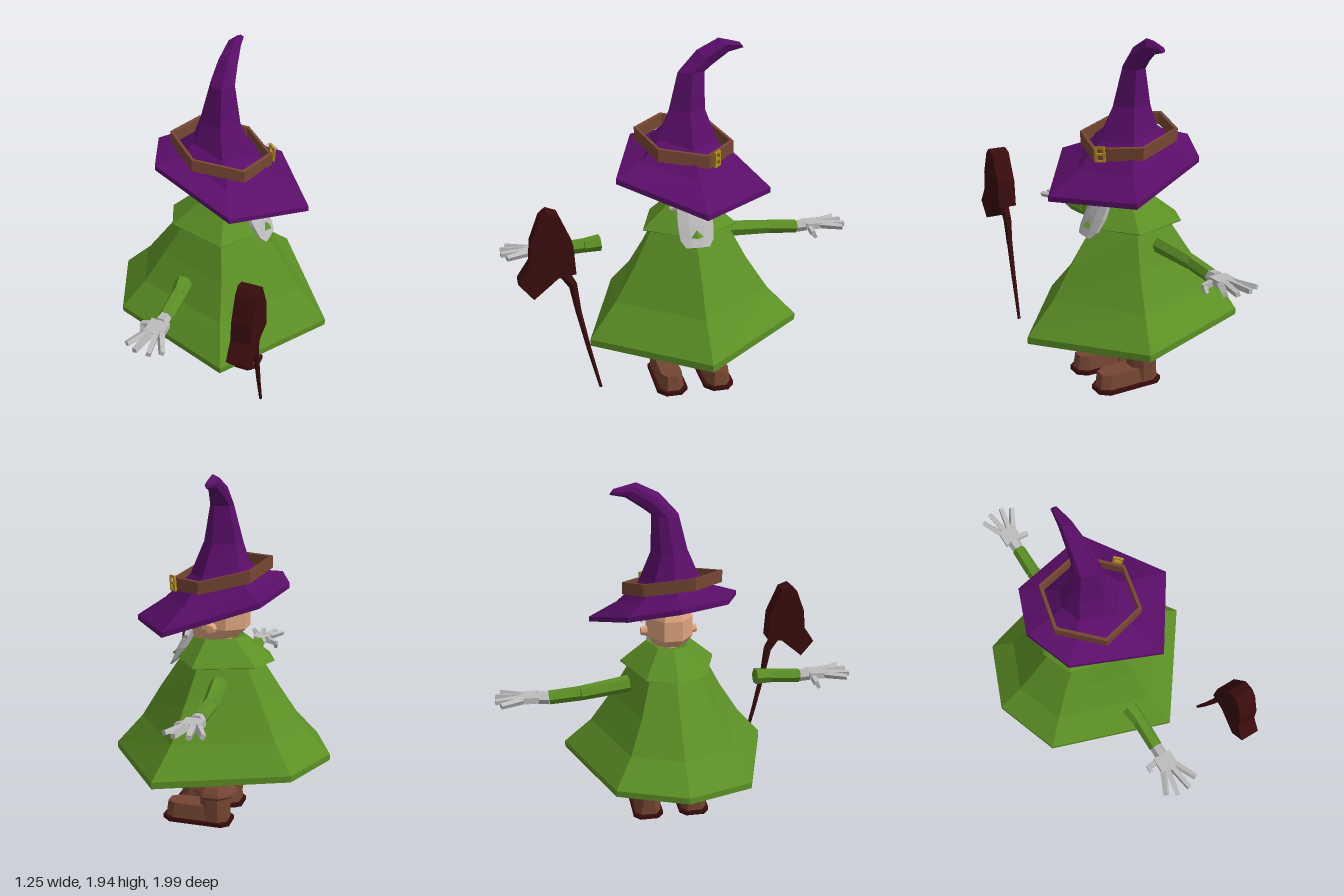
import * as THREE from 'three';

const mat = (name, color) => {
  const m = new THREE.MeshStandardMaterial({ color, flatShading: true, side: THREE.DoubleSide });
  m.name = name;
  return m;
};

export function createModel() {
  const root = new THREE.Group();
  root.name = 'wizard';
  const green = mat('robeGreen', 0x5c9025), purple = mat('hatPurple', 0x5a0e69);
  const brown = mat('leatherBrown', 0x754632), skin = mat('skin', 0xdca47e);
  const grey = mat('hairAndGloveGrey', 0xbcbcbc), dark = mat('darkRedWood', 0x3a0c0d);
  const gold = mat('buckleGold', 0xb08d1e);

  const add = (name, geo, m, parent = root) => {
    const mesh = new THREE.Mesh(geo, m);
    mesh.name = name;
    parent.add(mesh);
    return mesh;
  };

  // regular polygon of unit radius in x/z
  const poly = (n, phase = 0) => Array.from({ length: n }, (_, i) => {
    const t = phase + i * 2 * Math.PI / n;
    return [Math.cos(t), -Math.sin(t)];
  });
  // uneven six-sided section shared by robe and hat
  const hex = [[.625, 0], [.2, -.585], [-.49, -.365], [-.63, 0], [-.49, .365], [.2, .585]];

  // loft of tilted sections; ring = [cx, y, cz, scaleX, scaleZ, slopeX, slopeZ]
  const loft = (base, rings, capBottom = false, capTop = false) => {
    const pos = [], idx = [], n = base.length;
    for (const [cx, y, cz, sx, sz = sx, tx = 0, tz = 0] of rings)
      for (const [u, v] of base) pos.push(cx + u * sx, y + u * sx * tx + v * sz * tz, cz + v * sz);
    for (let i = 0; i < rings.length - 1; i++)
      for (let j = 0; j < n; j++) {
        const a = i * n + j, b = i * n + (j + 1) % n;
        idx.push(a, b, b + n, a, b + n, a + n);
      }
    const last = (rings.length - 1) * n;
    for (let j = 1; j < n - 1; j++) {
      if (capBottom) idx.push(0, j + 1, j);
      if (capTop) idx.push(last, last + j, last + j + 1);
    }
    const g = new THREE.BufferGeometry();
    g.setAttribute('position', new THREE.Float32BufferAttribute(pos, 3));
    g.setIndex(idx);
    g.computeVertexNormals();
    return g;
  };

  // tapered bar between two points
  const rod = (name, p, q, r1, r2, sides, m, parent = root) => {
    const a = new THREE.Vector3(...p), b = new THREE.Vector3(...q), d = b.clone().sub(a);
    const g = new THREE.CylinderGeometry(r2, r1, d.length(), sides);
    g.rotateY(Math.PI / sides);
    const mesh = add(name, g, m, parent);
    mesh.position.copy(a).add(b).multiplyScalar(.5);
    mesh.quaternion.setFromUnitVectors(new THREE.Vector3(0, 1, 0), d.normalize());
    return mesh;
  };

  const C = -.035; // body's middle plane in z

  // robe and collar
  add('robe', loft(hex, [
    [0, .355, C, .95, .95, -.054, -.03], [0, .352, C, 1, 1, -.054, -.03],
    [0, .388, C, 1, 1, -.05, -.03], [-.01, .55, C, .76, .74, -.02, -.01],
    [-.01, .73, C, .575, .54], [-.01, .93, C, .36, .36], [-.01, 1.03, C, .22, .22]]), green);
  add('collar', loft(hex, [
    [-.015, .925, C, .45], [-.015, .93, C, .47, .45], [0, 1.055, C, .225, .21, -.04], [-.01, 1.04, C, .1]]), green);

  // neck, head and ears
  add('neck', new THREE.CylinderGeometry(.05, .05, .1, 8).translate(-.025, 1.05, C), skin);
  add('head', loft(poly(8, Math.PI / 8), [
    [.015, 1.05, C, .13, .1, -.08], [0, 1.11, C, .172, .13], [0, 1.22, C, .172, .13], [-.01, 1.285, C, .13, .1]],
    true, true), skin);
  for (const s of [1, -1]) {
    add('ear', new THREE.CylinderGeometry(.022, .032, .04, 8).rotateX(s * Math.PI / 2)
      .translate(.012, 1.12, C + s * .135), skin);
    rod('eyebrow', [.165, 1.19, C + s * .03], [.115, 1.215, C + s * .105], .016, .02, 4, grey);
    rod('eyebrowTip', [.115, 1.22, C + s * .105], [.075, 1.15, C + s * .14], .02, .009, 4, grey);
    rod('moustache', [.168, 1.105, C], [.155, 1.065, C + s * .13], .026, .012, 5, grey);
  }
  add('beard', loft(poly(8, Math.PI / 8), [
    [.268, .88, C, .01, .07], [.24, .915, C, .022, .098], [.2, .985, C, .032, .105], [.155, 1.085, C, .022, .1]],
    true, true), grey);

  // hat with bent tip
  add('hat', loft(hex, [
    [.05, 1.228, C, .65, .65, -.27, .127], [.05, 1.222, C, .69, .72, -.27, .127],
    [.05, 1.25, C, .69, .72, -.27, .127], [.03, 1.32, C, .45, .46, -.25, .12],
    [0, 1.42, -.03, .27, .28, -.2, .1], [-.02, 1.57, -.03, .175, .17],
    [-.018, 1.77, -.055, .105, .125], [-.02, 1.845, -.13, .085, .075, 0, .9],
    [-.022, 1.905, -.235, .055, .05, 0, 1.3], [-.025, 1.9, -.335, .025, .02, 0, 1.3]], false, true), purple);

  // hat belt: closed square-section hexagonal band
  const band = [[1.365, .27], [1.432, .27], [1.432, .25], [1.365, .25], [1.365, .27]];
  add('hatBelt', loft(poly(6, .3), band.map(([y, r]) => [-.012, y, -.02, r, r, -.2, .1])), brown);

  // buckle: gold frame with a prong
  const buckle = new THREE.Group();
  buckle.name = 'buckle';
  for (const s of [1, -1]) {
    add('buckleSide', new THREE.BoxGeometry(.012, .08, .012).translate(0, 0, s * .022), gold, buckle);
    add('buckleBar', new THREE.BoxGeometry(.012, .012, .056).translate(0, s * .036, 0), gold, buckle);
  }
  add('prong', new THREE.BoxGeometry(.014, .012, .04), gold, buckle);
  buckle.position.set(.23, 1.352, -.145);
  buckle.rotation.set(.1, .8, -.1);
  root.add(buckle);

  // arms and open hands; the +z sleeve stands clear of the robe
  const arm = (name, s, wristX, start) => {
    const g = new THREE.Group();
    g.name = name;
    const P = (dx, y, z) => [wristX + dx * s, y, s * z];
    const elbow = P(0, .822, .54), wrist = P(0, .81, .71);
    rod('upperSleeve', start, elbow, .047, .04, 6, green, g);
    rod('lowerSleeve', elbow, wrist, .04, .038, 6, green, g);
    rod('cuff', wrist, P(0, .815, .77), .034, .036, 6, grey, g);
    add('palm', new THREE.BoxGeometry(.1, .034, .1).translate(wristX, .818, s * .815), grey, g);
    for (const [a, b, z] of [[-.038, -.095, .965], [-.015, -.04, .995], [.012, .035, .995], [.038, .095, .965]])
      rod('finger', P(a, .82, .85), P(b, .82, z), .021, .017, 4, grey, g);
    rod('thumb', P(-.04, .81, .785), P(-.098, .795, .785), .02, .018, 4, grey, g);
    rod('thumbTip', P(-.09, .8, .785), P(-.09, .765, .805), .018, .013, 4, grey, g);
    root.add(g);
  };
  arm('leftArm', 1, -.035, [-.045, .828, .45]);
  arm('rightArm', -1, -.095, [-.06, .845, -.27]);

  // legs and boots
  const footGeo = (grow, y0, y1) => {
    const w = .07 + grow, b = -.09 - grow, f = .268 + grow;
    const s = new THREE.Shape([[b, -w * .6], [b + .04, -w], [f - .05, -w], [f, -w * .5],
      [f, w * .5], [f - .05, w], [b + .04, w], [b, w * .6]].map(p => new THREE.Vector2(...p)));
    return new THREE.ExtrudeGeometry(s, { depth: y1 - y0, bevelEnabled: false })
      .rotateX(-Math.PI / 2).translate(0, y0, 0);
  };
  const oct = poly(8, Math.PI / 8);
  for (const s of [1, -1]) {
    const leg = new THREE.Group();
    leg.name = s > 0 ? 'leftLeg' : 'rightLeg';
    leg.position.z = C + s * .135;
    add('shin', loft(poly(6), [[-.015, .2, 0, .045], [-.015, .26, 0, .046], [-.015, .31, 0, .062],
      [-.015, .35, 0, .055], [-.015, .375, 0, .03]], true, true), skin, leg);
    add('bootShaft', loft(oct, [[-.015, .02, 0, .08], [-.012, .17, 0, .088]]), brown, leg);
    add('bootCuff', loft(oct, [[-.012, .155, 0, .085], [-.012, .182, 0, .128, .115],
      [-.012, .2, 0, .12, .108], [-.012, .232, 0, .088]], false, true), brown, leg);
    const foot = footGeo(0, .02, .105), p = foot.attributes.position;
    // narrow the top of the foot slightly
    for (let i = 0; i < p.count; i++) if (p.getY(i) > .06) {
      p.setX(i, p.getX(i) * .96);
      p.setZ(i, p.getZ(i) * .85);
    }
    foot.computeVertexNormals();
    add('foot', foot, brown, leg);
    add('sole', footGeo(.016, 0, .022), dark, leg);
    root.add(leg);
  }

  // broom: flat carved head and curved handle
  const head = new THREE.Shape([[.775, 1.21], [.72, 1.19], [.65, 1.03], [.64, .88], [.73, .865], [.765, .835],
    [.855, .76], [.93, .85], [.87, .94], [.86, 1.05], [.81, 1.18]].map(([z, y]) => new THREE.Vector2(-z, y)));
  add('broomHead', new THREE.ExtrudeGeometry(head, { depth: .105, bevelEnabled: false })
    .rotateY(Math.PI / 2).translate(.38, 0, 0), dark);
  const path = [[.71, .89, .03], [.655, .8, .024], [.632, .65, .017], [.585, .43, .013], [.53, .2, .009]];
  for (let i = 0; i < path.length - 1; i++) {
    const [z0, y0, r0] = path[i], [z1, y1, r1] = path[i + 1];
    rod('broomHandle', [.432, y0, z0], [.433, y1, z1], r0, r1, 6, dark);
  }
  return root;
}
